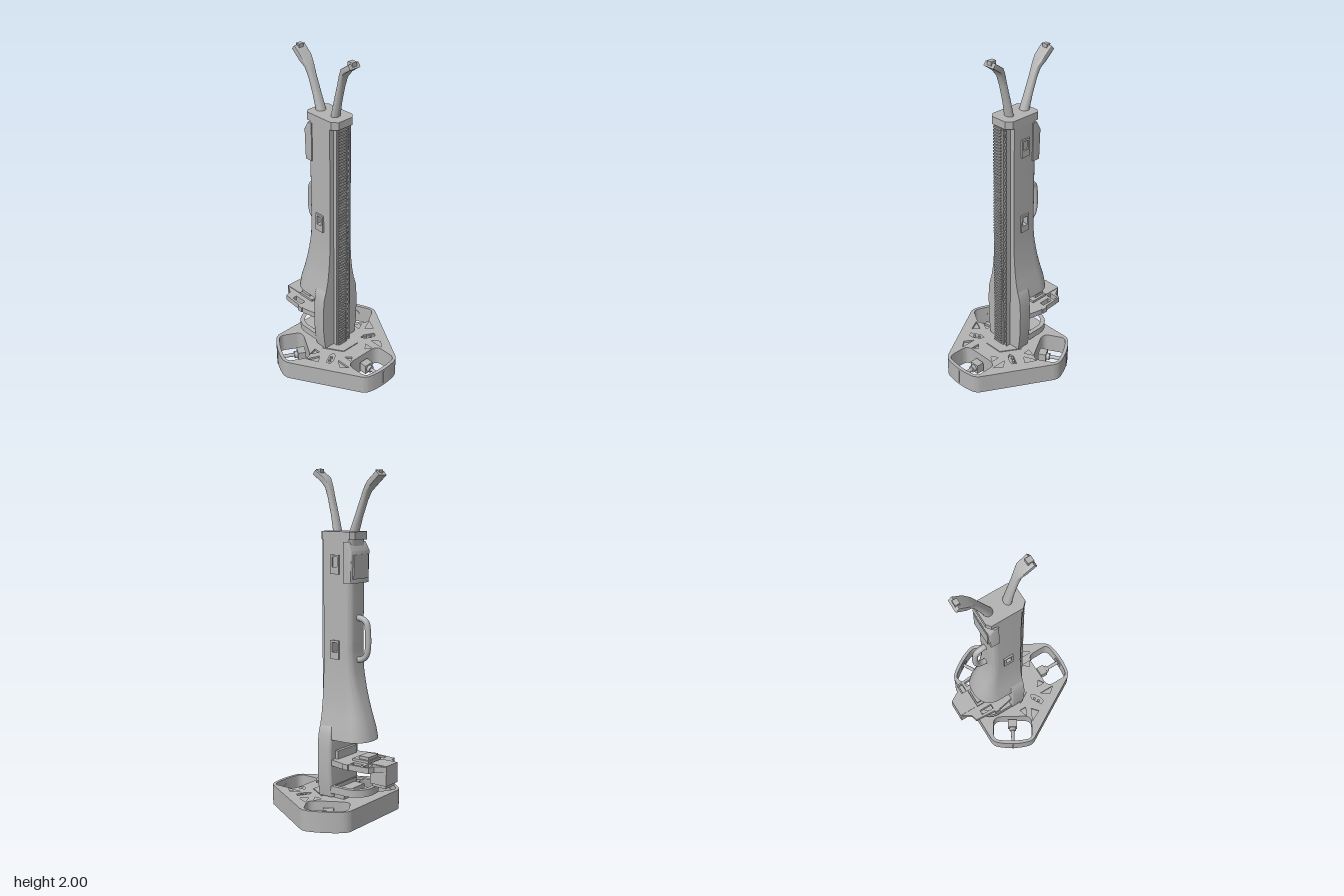
import * as THREE from 'three';
import { toCreasedNormals } from 'three/addons/utils/BufferGeometryUtils.js';

const grey = new THREE.MeshStandardMaterial({ color: 0xb3b3b3 });
grey.name = 'matte grey';

export function createModel() {
  const model = new THREE.Group();
  model.name = 'mobileRobot';

  const add = (name, geo, parent = model) => {
    const m = new THREE.Mesh(geo, grey);
    m.name = name;
    parent.add(m);
    return m;
  };
  // box given by its limits
  const box = (name, x0, x1, y0, y1, z0, z1, parent) =>
    add(name, new THREE.BoxGeometry(x1 - x0, y1 - y0, z1 - z0)
      .translate((x0 + x1) / 2, (y0 + y1) / 2, (z0 + z1) / 2), parent);
  const v2 = (pts) => pts.map(([x, z]) => new THREE.Vector2(x, z));
  // horizontal plate cut from an outline in x and z
  const plate = (name, outline, holes, y0, y1, parent) => {
    const s = new THREE.Shape(outline);
    s.holes = holes.map((h) => new THREE.Path(h));
    const g = new THREE.ExtrudeGeometry(s, { depth: y1 - y0, bevelEnabled: false });
    return add(name, toCreasedNormals(g.rotateX(Math.PI / 2).translate(0, y1, 0), 0.6), parent);
  };
  // closed skin through rings of equal length, capped at both ends
  const loft = (name, rings, parent) => {
    const n = rings[0].length, pos = [], idx = [];
    rings.forEach((r) => r.forEach((p) => pos.push(...p)));
    for (let i = 0; i < rings.length - 1; i++)
      for (let j = 0; j < n; j++) {
        const a = i * n + j, b = i * n + (j + 1) % n;
        idx.push(a, b, a + n, b, b + n, a + n);
      }
    [0, rings.length - 1].forEach((k, end) => {
      const c = pos.length / 3;
      pos.push(...[0, 1, 2].map((d) => rings[k].reduce((s, p) => s + p[d], 0) / n));
      for (let j = 0; j < n; j++) {
        const a = k * n + j, b = k * n + (j + 1) % n;
        idx.push(c, ...(end ? [a, b] : [b, a]));
      }
    });
    // keep the faces pointing outwards
    const V = (i) => new THREE.Vector3().fromArray(pos, i * 3);
    let vol = 0;
    for (let i = 0; i < idx.length; i += 3) vol += V(idx[i]).dot(V(idx[i + 1]).cross(V(idx[i + 2])));
    if (vol < 0) idx.reverse();
    const g = new THREE.BufferGeometry();
    g.setAttribute('position', new THREE.Float32BufferAttribute(pos, 3));
    g.setIndex(idx);
    return add(name, toCreasedNormals(g, 0.6), parent);
  };
  // D-shaped section: flat front at f, back at b with rounded corners r
  const dRing = (y, w, f, b, r) => {
    const pts = [];
    for (let i = 0; i <= 8; i++) {
      const t = (i / 8) * Math.PI / 2;
      pts.push([w - r + r * Math.cos(t), y, b + r - r * Math.sin(t)]);
    }
    const left = pts.map(([x, yy, z]) => [-x, yy, z]).reverse();
    return [[w, y, f], ...pts, ...left, [-w, y, f]];
  };

  // ---- base: three equal wheel lobes about a centre
  const cz = 0.01, turns = [0, 1, 2].map((i) => i * Math.PI * 2 / 3);
  const rot = (pts, a) => pts.map((p) => new THREE.Vector2(
    p.x * Math.cos(a) + p.y * Math.sin(a), cz - p.x * Math.sin(a) + p.y * Math.cos(a)));
  const lobe = new THREE.Path().moveTo(-0.15, 0.335)
    .quadraticCurveTo(-0.135, 0.367, -0.1, 0.377).quadraticCurveTo(0, 0.399, 0.1, 0.377)
    .quadraticCurveTo(0.135, 0.367, 0.15, 0.335).getPoints(8);
  const well = new THREE.Path().moveTo(-0.125, 0.32).lineTo(-0.125, 0.25)
    .quadraticCurveTo(-0.125, 0.205, -0.07, 0.205).lineTo(0.07, 0.205)
    .quadraticCurveTo(0.125, 0.205, 0.125, 0.25).lineTo(0.125, 0.32)
    .quadraticCurveTo(0.125, 0.355, 0.09, 0.36).quadraticCurveTo(0, 0.374, -0.09, 0.36)
    .quadraticCurveTo(-0.122, 0.355, -0.125, 0.322).getPoints(8);
  const outline = turns.flatMap((a) => rot(lobe, a));
  const wells = turns.map((a) => rot(well, a));
  const pockets = [
    [[0.27, 0.007], [0.195, 0.042], [0.235, 0.077]],
    [[0.222, -0.012], [0.168, -0.027], [0.168, 0.016]],
    [[0.138, 0.15], [0.138, 0.245], [0.175, 0.2]],
    [[0.09, 0.155], [0.055, 0.185], [0.09, 0.21]],
    [[0.115, 0.085], [0.145, 0.082], [0.205, 0.115], [0.192, 0.137], [0.165, 0.133], [0.125, 0.108]],
  ].flatMap((t) => [v2(t), v2(t.map(([x, z]) => [-x, z]))]);
  const base = new THREE.Group();
  base.name = 'base';
  model.add(base);
  plate('baseFloor', outline, [...wells, ...pockets], 0.015, 0.028, base);
  plate('baseCore', outline, wells, 0.028, 0.122, base);
  plate('baseDeck', outline, [...wells, ...pockets], 0.122, 0.135, base);
  plate('footPlate', v2([[-0.13, 0], [-0.06, 0.115], [0.06, 0.115], [0.13, 0]]), [], 0.13, 0.141, base);
  for (const s of [-1, 1]) for (const [x, z] of [[0.147, 0.096], [0.173, 0.111]])
    add('bolt', new THREE.CylinderGeometry(0.008, 0.008, 0.135, 12).translate(s * x, 0.0675, z), base);

  // ---- wheel drives
  for (const a of turns) {
    const d = new THREE.Group();
    d.name = 'wheelDrive';
    d.position.z = cz;
    d.rotation.y = a;
    base.add(d);
    const rod = (name, r, z0, z1) => add(name, new THREE.CylinderGeometry(r, r, z1 - z0, 24)
      .rotateX(Math.PI / 2).translate(0, 0.07, (z0 + z1) / 2), d);
    box('motor', -0.03, 0.03, 0.04, 0.1, 0.217, 0.265, d);
    rod('motorCollar', 0.021, 0.26, 0.285);
    rod('axle', 0.011, 0.28, 0.38);
    rod('wheel', 0.034, 0.363, 0.376);
    box('wallSlot', -0.004, 0.004, 0.02, 0.12, 0.385, 0.391, d);
  }

  // ---- column body, flaring into a hollow skirt
  const F = 0.02;
  loft('columnSkirt', [
    dRing(0.62, 0.085, F, -0.2, 0.07), dRing(0.48, 0.115, F, -0.258, 0.1),
    dRing(0.48, 0.126, F, -0.271, 0.11), dRing(0.55, 0.116, F, -0.258, 0.1),
    dRing(0.62, 0.101, F, -0.237, 0.085), dRing(0.7, 0.091, F, -0.212, 0.07),
    dRing(0.78, 0.085, F, -0.189, 0.055), dRing(0.87, 0.08, F, -0.171, 0.045),
    dRing(0.98, 0.08, F, -0.163, 0.04),
  ]);
  loft('columnWindowBack', [dRing(0.98, 0.08, -0.08, -0.163, 0.04), dRing(1.035, 0.08, -0.08, -0.163, 0.04)]);
  box('columnWindowFront', -0.08, 0.08, 0.98, 1.035, -0.045, F);
  loft('columnUpper', [dRing(1.035, 0.08, F, -0.163, 0.04), dRing(1.61, 0.08, F, -0.163, 0.04)]);
  plate('columnCap', v2([[0.05, 0.06], [0.08, 0.03], [0.08, -0.16], [0.055, -0.18],
    [-0.055, -0.18], [-0.08, -0.16], [-0.08, 0.03], [-0.05, 0.06]]), [], 1.61, 1.655);

  // wide lower front and its shoulders
  loft('lowerFront', [[0.14, 0.122], [0.2, 0.131], [0.28, 0.138], [0.42, 0.138], [0.5, 0.132],
    [0.55, 0.118], [0.58, 0.098], [0.64, 0.08]].map(([y, w]) => dRing(y, w, F, -0.07, 0.015)));
  // ring-shaped foot behind the column
  const flat = (w, f, b, r) => v2(dRing(0, w, f, b, r).map(([x, , z]) => [x, z]));
  plate('footRing', flat(0.126, -0.04, -0.275, 0.11), [flat(0.1, -0.08, -0.25, 0.09)], 0.165, 0.208);
  box('footRear', -0.1, 0.1, 0.135, 0.18, -0.14, -0.04);

  // side sockets
  for (const s of [-1, 1]) {
    const frame = (y) => {
      const x0 = s > 0 ? 0.078 : -0.09, x1 = x0 + 0.012;
      box('socketTop', x0, x1, y + 0.035, y + 0.047, -0.092, -0.033);
      box('socketBottom', x0, x1, y - 0.06, y - 0.02, -0.092, -0.033);
      box('socketFront', x0, x1, y - 0.02, y + 0.035, -0.045, -0.033);
      box('socketBack', x0, x1, y - 0.02, y + 0.035, -0.092, -0.08);
    };
    frame(1.0);
    if (s > 0) frame(1.48);
  }

  // ---- toothed rack and cable strip on the front
  box('rail', -0.052, 0.052, 0.14, 1.61, 0.015, 0.043);
  box('rackBack', -0.047, 0.015, 0.14, 1.61, 0.04, 0.051);
  box('stripEdge', 0.02, 0.027, 0.14, 1.61, 0.04, 0.055);
  box('stripEdge', 0.045, 0.052, 0.14, 1.61, 0.04, 0.05);
  for (let i = 0; i < 80; i++) {
    const y = 0.145 + i * 0.0183;
    box('rackTooth', -0.045, 0.013, y, y + 0.01, 0.05, 0.06);
    if (i % 2) box('stripLink', 0.031, 0.041, y, y + 0.022, 0.04, 0.05);
  }

  // ---- rear screen and handle
  loft('screenHousing', [[1.37, -0.172], [1.55, -0.178], [1.6, -0.15]]
    .map(([y, b]) => dRing(y, 0.087, -0.12, b, 0.006)));
  box('screen', -0.07, 0.07, 1.395, 1.53, -0.182, -0.172);
  const grip = new THREE.CatmullRomCurve3([[1.175, -0.14], [1.17, -0.19], [1.15, -0.22], [1.1, -0.23],
    [1.0, -0.23], [0.96, -0.217], [0.94, -0.19], [0.935, -0.14]].map(([y, z]) => new THREE.Vector3(0, y, z)));
  add('handle', new THREE.TubeGeometry(grip, 40, 0.017, 14));

  // ---- sensor shelf
  const half = [[0.055, -0.4], [0.09, -0.34], [0.13, -0.33], [0.143, -0.15], [0.12, -0.05]];
  const mirror = half.map(([x, z]) => [-x, z]).reverse();
  const slot = (x0, x1, z0, z1) => v2([[x0, z0], [x1, z0], [x1, z1], [x0, z1]]);
  plate('shelf', v2([...half, ...mirror]),
    [slot(0.066, 0.122, -0.32, -0.287), slot(-0.12, -0.09, -0.28, -0.2), slot(0.09, 0.12, -0.27, -0.2)], 0.328, 0.362);
  box('sensorBox', -0.056, 0.056, 0.25, 0.366, -0.4, -0.29);
  box('sensorFoot', -0.045, 0.045, 0.232, 0.25, -0.39, -0.3);
  box('shelfModule', -0.06, 0.06, 0.362, 0.376, -0.28, -0.17);
  box('shelfModuleTop', -0.045, 0.045, 0.376, 0.393, -0.272, -0.205);
  for (const s of [-1, 1]) box('shelfKnob', s * 0.142 - 0.008, s * 0.142 + 0.008, 0.33, 0.362, -0.2, -0.165);
  box('shelfBracket', -0.09, 0.09, 0.36, 0.41, -0.09, -0.06);

  // ---- two horns: each station is z, y, half width, half thickness, squareness
  const horn = (name, st) => loft(name, st.map(([z, y, w, t, e], i) => {
    const a = st[Math.max(i - 1, 0)], b = st[Math.min(i + 1, st.length - 1)];
    const len = Math.hypot(b[0] - a[0], b[1] - a[1]);
    const dz = (b[0] - a[0]) / len, dy = (b[1] - a[1]) / len;
    return Array.from({ length: 20 }, (_, k) => {
      const q = (k + 0.5) / 20 * Math.PI * 2, c = Math.cos(q), s = Math.sin(q);
      const u = Math.sign(c) * Math.abs(c) ** e * w, n = Math.sign(s) * Math.abs(s) ** e * t;
      return [u, y - n * dz, z + n * dy];
    });
  }));
  horn('frontHorn', [[-0.02, 1.64, 0.03, 0.023, 1], [0, 1.74, 0.026, 0.02, 1], [0.025, 1.84, 0.024, 0.017, 0.8],
    [0.042, 1.9, 0.025, 0.016, 0.5], [0.065, 1.94, 0.035, 0.016, 0.2], [0.122, 1.98, 0.037, 0.015, 0.15]]);
  horn('rearHorn', [[-0.13, 1.64, 0.03, 0.027, 1], [-0.165, 1.74, 0.026, 0.022, 1], [-0.2, 1.83, 0.024, 0.019, 0.8],
    [-0.222, 1.88, 0.026, 0.018, 0.5], [-0.255, 1.92, 0.036, 0.017, 0.2], [-0.312, 1.972, 0.037, 0.016, 0.15]]);
  box('frontHornPad', -0.016, 0.016, 1.975, 2.0, 0.09, 0.125);
  box('rearHornPad', -0.016, 0.016, 1.955, 1.99, -0.312, -0.285);
  return model;
}
